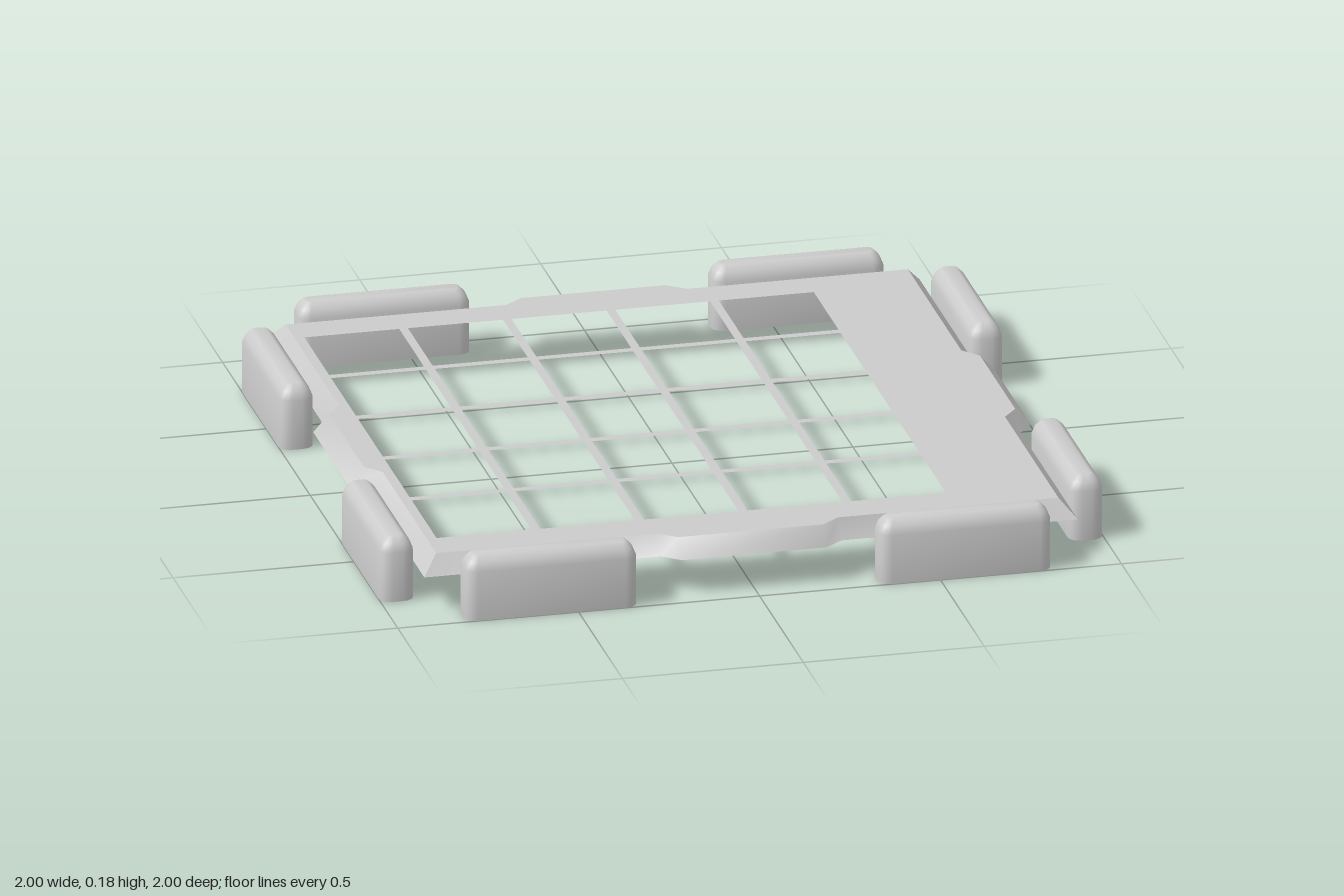
import * as THREE from 'three';
import { toCreasedNormals } from 'three/addons/utils/BufferGeometryUtils.js';

const material = new THREE.MeshStandardMaterial({ color: 0xcccccc, side: THREE.DoubleSide });
const TOP = 0.15, RIM = 0.10;

// Square outline with a tapered tab in the middle of each side, as [x, z] points
function outline(half, tab) {
  const side = [[-half, half], [-0.25, half], [-0.2, tab], [0.2, tab], [0.25, half]];
  const points = [];
  for (let i = 0; i < 4; i++) {
    const c = Math.round(Math.cos(i * Math.PI / 2)), s = Math.round(Math.sin(i * Math.PI / 2));
    for (const [x, z] of side) points.push([x * c + z * s, -x * s + z * c]);
  }
  return points;
}

// Surface through rings of equal length, each ring a closed list of [x, y, z]
function loft(rings, cap) {
  const n = rings[0].length, index = [];
  for (let r = 0; r < rings.length - 1; r++) {
    for (let i = 0; i < n; i++) {
      const a = r * n + i, b = r * n + (i + 1) % n;
      index.push(a, b, b + n, a, b + n, a + n);
    }
  }
  if (cap) {
    const first = (rings.length - 1) * n;
    for (let i = 1; i < n - 1; i++) index.push(first, first + i, first + i + 1);
  }
  const geometry = new THREE.BufferGeometry();
  geometry.setAttribute('position', new THREE.Float32BufferAttribute(rings.flat(2), 3));
  geometry.setIndex(index);
  return toCreasedNormals(geometry, 0.7);
}

// Flat plate with a 5 x 5 grid of openings, offset toward -x
function plateGeometry() {
  const shape = new THREE.Shape(outline(0.86, 0.9).map(([x, z]) => new THREE.Vector2(x, -z)));
  const x0 = -0.833, x1 = 0.575, z0 = -0.757, z1 = 0.753, bar = 0.024;
  const w = (x1 - x0 - 4 * bar) / 5, d = (z1 - z0 - 4 * bar) / 5;
  for (let i = 0; i < 5; i++) {
    for (let j = 0; j < 5; j++) {
      const x = x0 + i * (w + bar), y = -z1 + j * (d + bar);
      shape.holes.push(new THREE.Path([
        new THREE.Vector2(x, y), new THREE.Vector2(x, y + d),
        new THREE.Vector2(x + w, y + d), new THREE.Vector2(x + w, y)
      ]));
    }
  }
  return new THREE.ShapeGeometry(shape).rotateX(-Math.PI / 2).translate(0, TOP, 0);
}

// Rounded rectangle ring at height y, counter-clockwise seen from above
function roundedRing(halfLength, halfDepth, radius, y) {
  const ring = [], steps = 4;
  for (let corner = 0; corner < 4; corner++) {
    const sx = corner === 0 || corner === 3 ? 1 : -1, sz = corner < 2 ? 1 : -1;
    for (let k = 0; k <= steps; k++) {
      const a = (corner + k / steps) * Math.PI / 2;
      ring.push([
        sx * (halfLength - radius) + radius * Math.cos(a), y,
        -(sz * (halfDepth - radius) + radius * Math.sin(a))
      ]);
    }
  }
  return ring;
}

// Hollow bumper, open underneath, with a softened top edge
function bumperGeometry() {
  const profile = [[0, 0], [0.14, 0], [0.163, 0.009], [0.178, 0.024], [0.18, 0.03]];
  return loft(profile.map(([y, inset]) =>
    roundedRing(0.2385 - inset, 0.0475 - inset, 0.034 - inset * 0.75, y)), true);
}

export function createModel() {
  const group = new THREE.Group();
  const add = (name, geometry) => {
    const mesh = new THREE.Mesh(geometry, material);
    mesh.name = name;
    group.add(mesh);
    return mesh;
  };

  add('gridPlate', plateGeometry());

  // Skirt sloping down from the plate edge
  const ring = (half, tab, y) => outline(half, tab).map(([x, z]) => [x, y, z]);
  add('slopedSkirt', loft([ring(0.903, 0.943, RIM), ring(0.86, 0.9, TOP)], false));

  // Two bumpers on each side
  const bumper = bumperGeometry();
  ['front', 'left', 'back', 'right'].forEach((side, i) => {
    const angle = i * Math.PI / 2;
    for (const s of [-1, 1]) {
      const mesh = add(side + 'Bumper' + (s < 0 ? 'A' : 'B'), bumper);
      mesh.position.set(s * 0.5725, 0, 0.9525).applyAxisAngle(new THREE.Vector3(0, 1, 0), angle);
      mesh.rotation.y = angle;
    }
  });
  return group;
}
